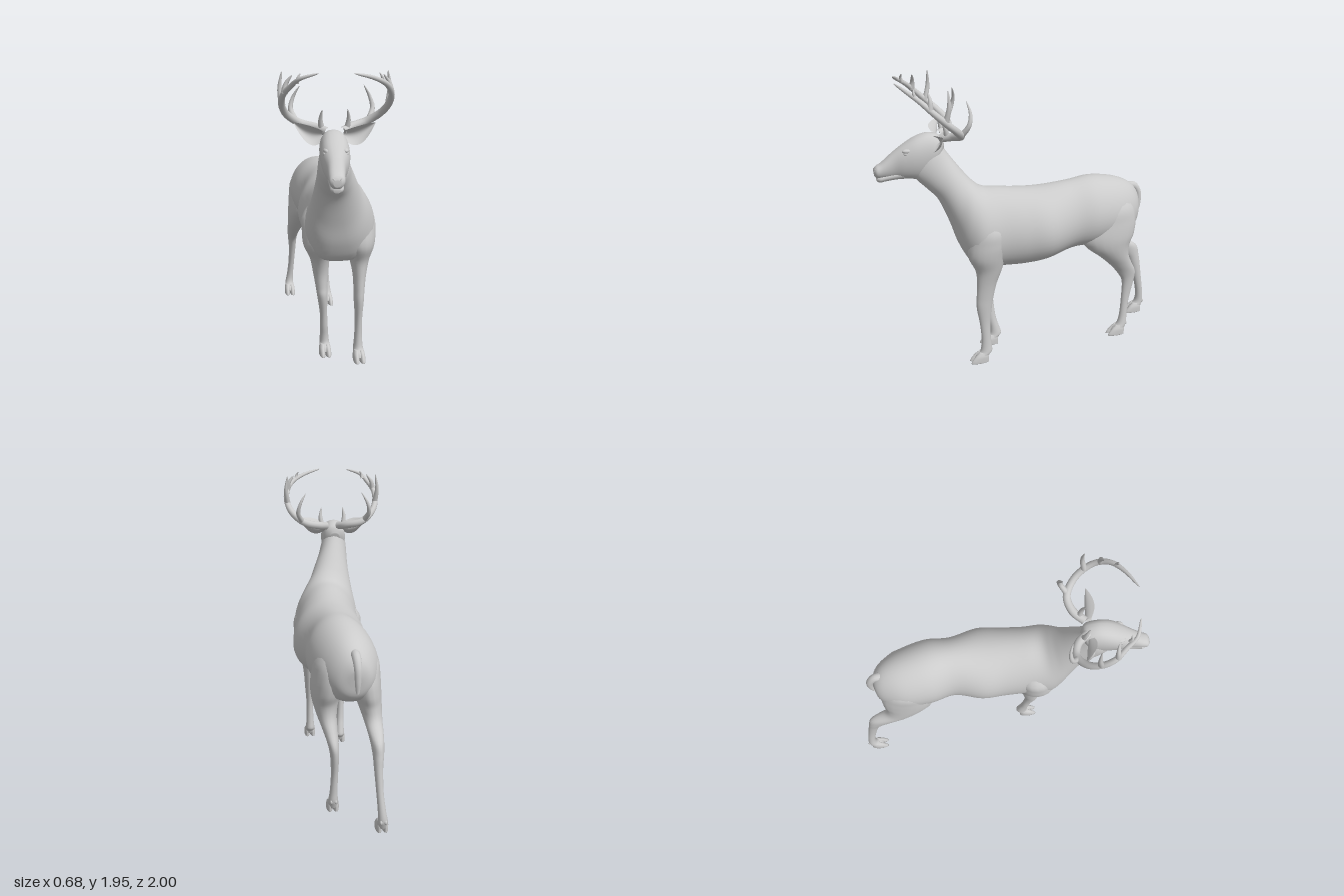
import * as THREE from 'three';

const material = new THREE.MeshStandardMaterial({ color: 0xcccccc, roughness: 0.8 });
const thinMaterial = new THREE.MeshStandardMaterial({ color: 0xcccccc, side: THREE.DoubleSide });

// Smoothly interpolate rows of numbers, n steps between neighbouring rows
function resample(rows, n) {
  const out = [];
  const last = rows.length - 1;
  for (let k = 0; k <= last * n; k++) {
    const i = Math.min(Math.floor(k / n), last - 1), f = k / n - i;
    const [a, b, c, d] = [Math.max(i - 1, 0), i, i + 1, Math.min(i + 2, last)].map((q) => rows[q]);
    out.push(b.map((p, m) => p + 0.5 * f * (c[m] - a[m]
      + f * (2 * a[m] - 5 * p + 4 * c[m] - d[m] + f * (3 * (p - c[m]) + d[m] - a[m])))));
  }
  return out;
}

// Skin a list of sections; point(section, angle) gives [x, y, z]
function loft(name, rows, steps, sides, point) {
  const sections = resample(rows, steps), pos = [], index = [];
  for (const s of sections) {
    for (let j = 0; j < sides; j++) pos.push(...point(s, (j / sides) * Math.PI * 2));
  }
  for (let i = 0; i < sections.length - 1; i++) {
    for (let j = 0; j < sides; j++) {
      const a = i * sides + j, b = i * sides + (j + 1) % sides;
      index.push(a, a + sides, b, b, a + sides, b + sides);
    }
  }
  // Close both ends with a fan
  [0, sections.length - 1].forEach((i, end) => {
    const p = point(sections[i], 0), q = point(sections[i], Math.PI), c = pos.length / 3;
    pos.push(...p.map((v, m) => (v + q[m]) / 2));
    for (let j = 0; j < sides; j++) {
      const a = i * sides + j, b = i * sides + (j + 1) % sides;
      index.push(c, end ? b : a, end ? a : b);
    }
  });
  const g = new THREE.BufferGeometry();
  g.setAttribute('position', new THREE.Float32BufferAttribute(pos, 3));
  g.setIndex(index);
  g.computeVertexNormals();
  return named(name, g);
}

function named(name, geometry, mat = material) {
  const mesh = new THREE.Mesh(geometry, mat);
  mesh.name = name;
  return mesh;
}

// Section spanned by a top and a bottom point: [topZ, topY, bottomZ, bottomY, centreX, halfWidth, low]
// pear widens the lower half; square (all round) and low (underside) below 1 make the section boxier
const spanned = (pear, square = 1) => ([tz, ty, bz, by, cx, hw, low = 1], t) => {
  const c = Math.cos(t), m = (1 + c) / 2, sin = Math.sin(t);
  const w = Math.sign(sin) * Math.pow(Math.abs(sin), square + (low - 1) * Math.max(0, -c));
  return [cx + hw * w * (1 - pear * c), by + (ty - by) * m, bz + (tz - bz) * m];
};
// Level section: [y, x, z, radiusX, radiusZ]
const level = ([y, x, z, rx, rz], t) => [x + rx * Math.sin(t), y, z + rz * Math.cos(t)];

// Tube along points that narrows to its tip
function taper(name, points, r, power = 0.6) {
  const curve = new THREE.CatmullRomCurve3(points.map((p) => new THREE.Vector3(...p)));
  const n = points.length * 6, sides = 12;
  const g = new THREE.TubeGeometry(curve, n, r, sides, false), pos = g.attributes.position;
  const v = new THREE.Vector3();
  for (let i = 0; i <= n; i++) {
    const centre = curve.getPointAt(i / n), k = Math.pow(1 - i / n, power);
    for (let j = 0; j <= sides; j++) {
      const q = i * (sides + 1) + j;
      v.fromBufferAttribute(pos, q).sub(centre).multiplyScalar(k).add(centre);
      pos.setXYZ(q, v.x, v.y, v.z);
    }
  }
  return named(name, g);
}

function ball(name, x, y, z, rx, ry, rz) {
  const mesh = named(name, new THREE.SphereGeometry(1, 20, 14));
  mesh.position.set(x, y, z);
  mesh.scale.set(rx, ry, rz);
  return mesh;
}

// Leg with a cloven hoof under its last section
function leg(name, rows) {
  const group = new THREE.Group();
  group.name = name;
  const [, x, z] = rows[rows.length - 1];
  group.add(loft('limb', [...rows, [0.055, x, z + 0.022, 0.036, 0.046], [0.03, x, z + 0.034, 0.034, 0.048]],
    5, 20, level));
  for (const s of [-1, 1]) {
    group.add(loft('hoofToe', [
      [0.075, x + s * 0.014, z + 0.02, 0.016, 0.03], [0.05, x + s * 0.019, z + 0.033, 0.02, 0.047],
      [0.02, x + s * 0.0205, z + 0.046, 0.0205, 0.06], [0.003, x + s * 0.0205, z + 0.05, 0.02, 0.064],
    ], 4, 16, level));
    group.add(ball('dewclaw', x + s * 0.014, 0.085, z - 0.026, 0.009, 0.015, 0.011));
  }
  return group;
}

function antler(s) {
  const group = new THREE.Group();
  group.name = s > 0 ? 'leftAntler' : 'rightAntler';
  const side = (pts) => pts.map(([x, y, z]) => [s * x, y, z]);
  const tip = s > 0 ? 0.06 : 0.13; // the two beams curl in by different amounts
  group.add(taper('beam', side([[0.045, 1.585, 0.575], [0.11, 1.605, 0.505], [0.2, 1.63, 0.48],
    [0.28, 1.685, 0.525], [0.318, 1.75, 0.595], [0.317, 1.82, 0.67], [0.275, 1.88, 0.735],
    [0.155 + 0.6 * tip, 1.922, 0.795], [tip, 1.955, s > 0 ? 0.855 : 0.83]]), 0.028, 0.45));
  const tines = [
    [[0.075, 1.59, 0.54], [0.085, 1.66, 0.555], [0.076, 1.72, 0.575]],
    [[0.22, 1.635, 0.485], [0.252, 1.71, 0.438], [0.235, 1.78, 0.425], [0.195, 1.85, 0.44]],
    [[0.316, 1.75, 0.595], [0.328, 1.85, 0.575], [0.315, 1.95, 0.575]],
    [[0.312, 1.83, 0.685], [0.3, 1.885, 0.68], [0.265, 1.935, 0.685]],
    [[0.245, 1.895, 0.755], [0.24, 1.925, 0.765], [0.225, 1.95, 0.76]],
  ];
  tines.forEach((t, i) => group.add(taper('tine', side(t), i === 4 ? 0.013 : 0.02)));
  return group;
}

// Cupped leaf-shaped ear
function ear(s) {
  const g = new THREE.PlaneGeometry(1, 2, 14, 12), pos = g.attributes.position;
  const length = s > 0 ? 0.19 : 0.165, sweep = s > 0 ? 0.02 : -0.045;
  for (let i = 0; i < pos.count; i++) {
    const u = pos.getX(i) + 0.5, v = pos.getY(i);
    const w = 0.056 * Math.pow(Math.sin(Math.PI * (0.15 + 0.85 * u)), 0.85);
    pos.setXYZ(i, -0.015 + s * (0.065 + length * u), 1.57 + 0.07 * u * u + w * v - 0.01 * Math.sin(Math.PI * u),
      0.58 + sweep * u + 1.1 * w * v * v * (1 - 0.3 * u));
  }
  g.computeVertexNormals();
  return named(s > 0 ? 'leftEar' : 'rightEar', g, thinMaterial);
}

export function createModel() {
  const deer = new THREE.Group();
  deer.name = 'deer';

  // Trunk and neck, from rump to throat
  deer.add(loft('trunkAndNeck', [
    [-0.83, 1.02, -0.815, 0.92, 0.01, 0.03, 1], [-0.805, 1.09, -0.795, 0.84, 0.015, 0.1, 1],
    [-0.74, 1.155, -0.72, 0.78, 0.025, 0.155, 0.95], [-0.62, 1.205, -0.6, 0.76, 0.036, 0.198, 0.85],
    [-0.45, 1.235, -0.43, 0.75, 0.06, 0.213, 0.85], [-0.28, 1.222, -0.28, 0.742, 0.078, 0.193, 0.95],
    [-0.08, 1.208, -0.1, 0.7, 0.088, 0.243, 1], [0.08, 1.215, 0.05, 0.682, 0.085, 0.232, 0.95],
    [0.22, 1.23, 0.22, 0.688, 0.075, 0.222, 0.8], [0.32, 1.243, 0.39, 0.71, 0.068, 0.225, 0.7],
    [0.38, 1.285, 0.475, 0.83, 0.052, 0.195, 0.75], [0.43, 1.34, 0.53, 0.99, 0.03, 0.155, 0.9],
    [0.48, 1.405, 0.6, 1.16, 0.012, 0.123, 1], [0.53, 1.475, 0.66, 1.23, -0.005, 0.105, 1],
    [0.58, 1.55, 0.73, 1.3, -0.018, 0.09, 1], [0.63, 1.58, 0.77, 1.35, -0.025, 0.06, 1],
  ], 5, 40, spanned(0.1)));

  // Head: skull with muzzle, and a lower jaw
  deer.add(loft('skull', [
    [0.545, 1.53, 0.58, 1.44, -0.018, 0.035], [0.565, 1.585, 0.63, 1.35, -0.018, 0.075],
    [0.64, 1.61, 0.7, 1.31, -0.02, 0.086], [0.72, 1.593, 0.77, 1.315, -0.023, 0.087],
    [0.8, 1.548, 0.82, 1.32, -0.03, 0.076], [0.88, 1.49, 0.87, 1.325, -0.038, 0.056],
    [0.95, 1.43, 0.94, 1.327, -0.045, 0.048], [0.985, 1.408, 0.98, 1.33, -0.048, 0.043],
    [1.0, 1.385, 0.997, 1.345, -0.05, 0.022],
  ], 5, 28, spanned(-0.12, 0.85)));
  deer.add(loft('lowerJaw', [
    [0.76, 1.4, 0.76, 1.315, -0.026, 0.05], [0.85, 1.38, 0.85, 1.315, -0.036, 0.046],
    [0.93, 1.36, 0.93, 1.306, -0.044, 0.041], [0.965, 1.35, 0.965, 1.3, -0.047, 0.037],
    [0.987, 1.338, 0.984, 1.308, -0.049, 0.02],
  ], 4, 20, spanned(0)));
  deer.add(ball('nosePad', -0.049, 1.385, 0.976, 0.036, 0.022, 0.022));

  for (const s of [-1, 1]) {
    deer.add(ball('eye', -0.029 + s * 0.063, 1.495, 0.795, 0.012, 0.013, 0.02));
    deer.add(ball('brow', -0.027 + s * 0.053, 1.512, 0.778, 0.021, 0.016, 0.045));
    const nostril = named('nostril', new THREE.TorusGeometry(0.009, 0.003, 8, 16));
    nostril.position.set(-0.049 + s * 0.025, 1.384, 0.99);
    nostril.rotation.y = s * 0.8;
    deer.add(nostril, ear(s), antler(s));
  }

  // Legs, caught in a slow walk
  deer.add(leg('leftFrontLeg', [
    [1.13, 0.15, 0.28, 0.05, 0.06], [1.0, 0.175, 0.3, 0.12, 0.12], [0.9, 0.19, 0.315, 0.118, 0.135],
    [0.8, 0.198, 0.33, 0.1, 0.125], [0.7, 0.203, 0.32, 0.066, 0.09], [0.6, 0.203, 0.335, 0.045, 0.068],
    [0.5, 0.2, 0.348, 0.036, 0.059], [0.42, 0.198, 0.355, 0.033, 0.053], [0.3, 0.198, 0.352, 0.025, 0.037],
    [0.2, 0.198, 0.347, 0.025, 0.033], [0.13, 0.198, 0.345, 0.028, 0.036], [0.08, 0.198, 0.348, 0.033, 0.042],
  ]));
  deer.add(leg('rightFrontLeg', [
    [1.13, -0.02, 0.26, 0.05, 0.06], [1.0, -0.045, 0.28, 0.12, 0.12], [0.9, -0.06, 0.295, 0.113, 0.13],
    [0.8, -0.066, 0.3, 0.097, 0.12], [0.7, -0.052, 0.27, 0.066, 0.09], [0.6, -0.045, 0.265, 0.052, 0.062],
    [0.5, -0.04, 0.272, 0.04, 0.05], [0.43, -0.036, 0.28, 0.034, 0.045], [0.3, -0.025, 0.26, 0.025, 0.032],
    [0.2, -0.02, 0.245, 0.026, 0.03], [0.13, -0.017, 0.228, 0.029, 0.034], [0.08, -0.015, 0.222, 0.033, 0.042],
  ]));
  deer.add(leg('leftHindLeg', [
    [1.13, 0.1, -0.58, 0.06, 0.1], [1.02, 0.125, -0.575, 0.108, 0.17], [0.92, 0.145, -0.56, 0.106, 0.2],
    [0.82, 0.16, -0.545, 0.1, 0.2], [0.74, 0.168, -0.555, 0.085, 0.157], [0.66, 0.165, -0.605, 0.065, 0.107],
    [0.58, 0.15, -0.665, 0.048, 0.082], [0.5, 0.135, -0.718, 0.035, 0.068], [0.42, 0.128, -0.738, 0.028, 0.045],
    [0.28, 0.128, -0.723, 0.023, 0.03], [0.16, 0.132, -0.712, 0.025, 0.028], [0.09, 0.135, -0.702, 0.031, 0.035],
  ]));
  deer.add(leg('rightHindLeg', [
    [1.13, -0.02, -0.59, 0.06, 0.1], [1.02, -0.045, -0.595, 0.112, 0.165], [0.92, -0.068, -0.6, 0.102, 0.19],
    [0.82, -0.085, -0.61, 0.09, 0.18], [0.74, -0.1, -0.64, 0.076, 0.135], [0.66, -0.112, -0.7, 0.06, 0.1],
    [0.58, -0.12, -0.81, 0.045, 0.1], [0.5, -0.122, -0.88, 0.035, 0.056], [0.42, -0.12, -0.91, 0.028, 0.04],
    [0.28, -0.125, -0.943, 0.023, 0.03], [0.16, -0.135, -0.966, 0.025, 0.028], [0.09, -0.142, -0.967, 0.031, 0.033],
  ]));

  // Tail
  deer.add(taper('tail', [[0.01, 1.11, -0.74], [0.005, 1.105, -0.8], [0, 1.05, -0.84],
    [0, 0.97, -0.847], [0, 0.875, -0.835]], 0.03, 0.35));
  return deer;
}
